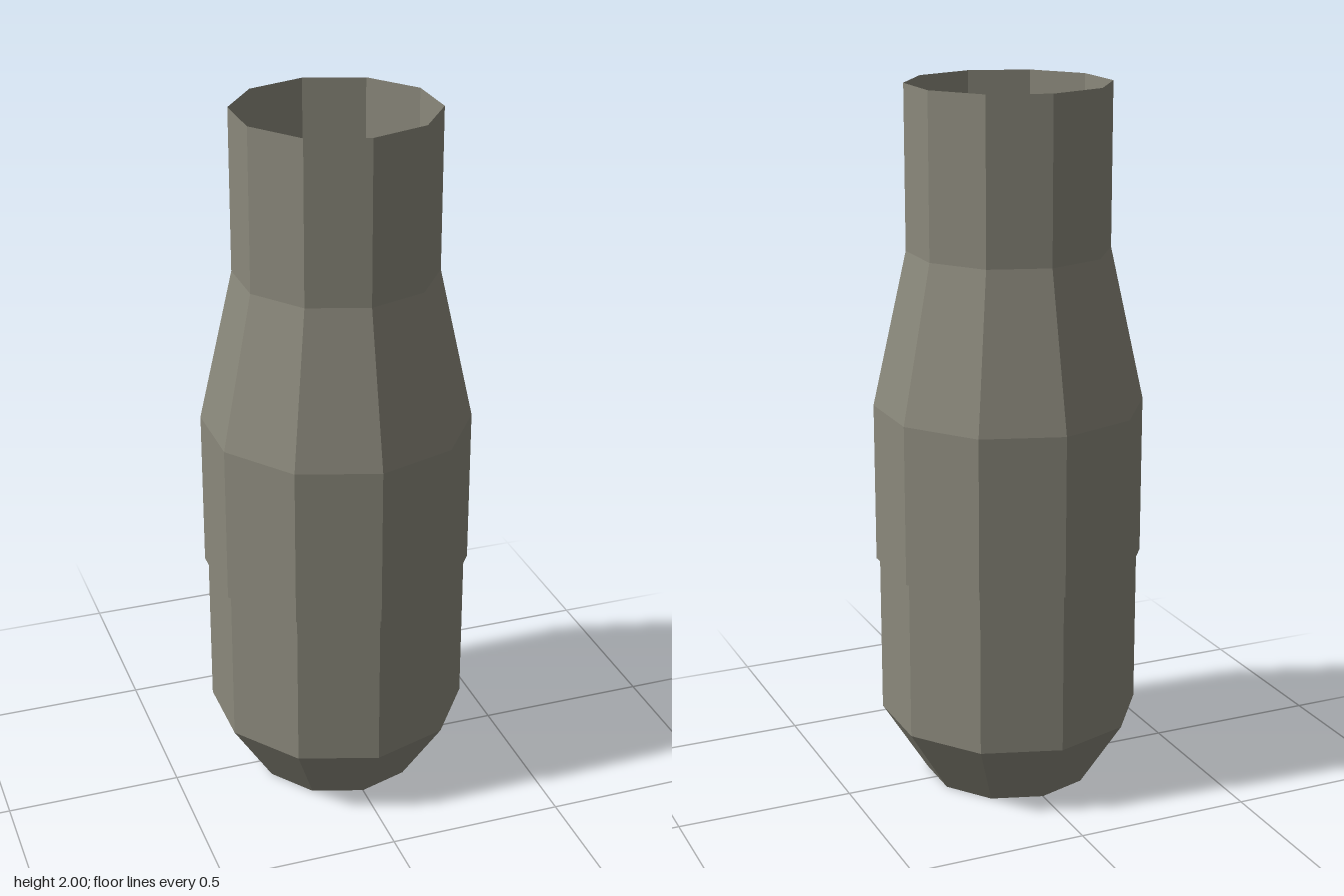
import * as THREE from 'three';

const SIDES = 10;

export function createModel() {
  const model = new THREE.Group();
  model.name = 'hollowCasing';

  const metal = new THREE.MeshStandardMaterial({ color: 0x8a887b });
  metal.name = 'dull grey metal';
  metal.flatShading = true;
  metal.side = THREE.DoubleSide; // thin open shell

  // Faceted open ring from [radius, height] pairs, listed upwards
  const addShell = (name, profile) => {
    const points = profile.map(([r, y]) => new THREE.Vector2(r, y));
    const mesh = new THREE.Mesh(new THREE.LatheGeometry(points, SIDES), metal);
    mesh.name = name;
    model.add(mesh);
  };

  // Tapered foot, open underneath
  addShell('taperedBase', [[0.24, 0], [0.369, 0.2]]);
  // Lower sleeve
  addShell('lowerBody', [[0.369, 0.2], [0.369, 0.657]]);
  // Wider sleeve with the small ledge under it
  addShell('upperBody', [[0.369, 0.657], [0.379, 0.657], [0.379, 1.11]]);
  // Sloping shoulder
  addShell('shoulder', [[0.379, 1.11], [0.283, 1.545]]);
  // Straight neck, open at the top
  addShell('neck', [[0.283, 1.545], [0.283, 2]]);

  return model;
}
